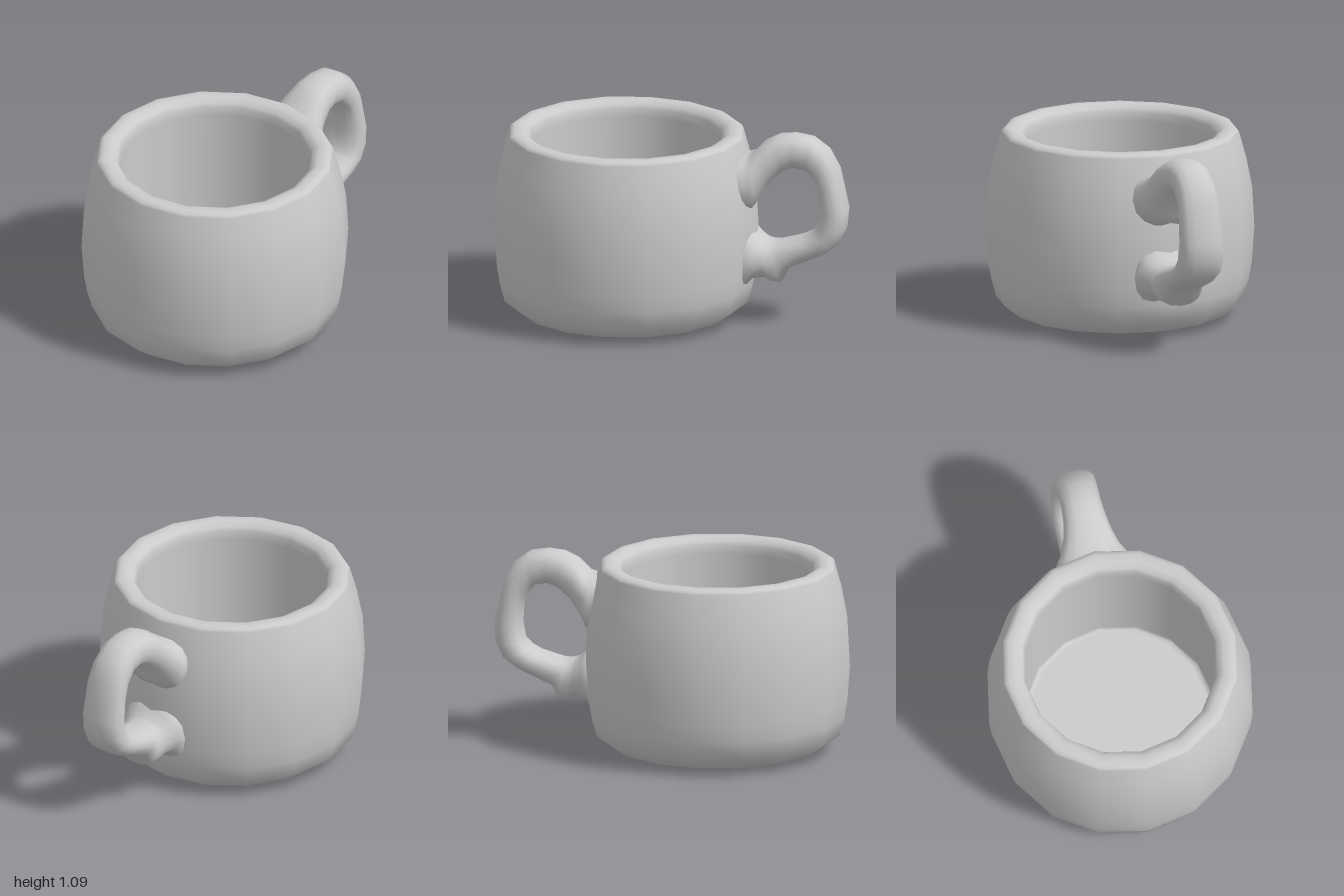
import * as THREE from 'three';

const CUP_X = -0.256;
const SIDES = 16;
const material = new THREE.MeshStandardMaterial({ color: 0xcccccc });

// Closed tube through stations [outerX, outerY, innerX, innerY, halfWidth]
function loftHandle(stations, around) {
  const positions = [], index = [];
  const round = (v) => Math.sign(v) * Math.abs(v) ** 0.85;
  for (const [ox, oy, ix, iy, half] of stations) {
    for (let j = 0; j < around; j++) {
      const a = (j / around) * Math.PI * 2;
      const c = round(Math.cos(a)), s = round(Math.sin(a));
      positions.push(
        (ox + ix) / 2 + ((ox - ix) / 2) * c,
        (oy + iy) / 2 + ((oy - iy) / 2) * c,
        half * s
      );
    }
  }
  for (let i = 0; i < stations.length - 1; i++) {
    for (let j = 0; j < around; j++) {
      const k = (j + 1) % around;
      const a = i * around + j, b = i * around + k;
      index.push(a, b, a + around, b, b + around, a + around);
    }
  }
  const geometry = new THREE.BufferGeometry();
  geometry.setAttribute('position', new THREE.Float32BufferAttribute(positions, 3));
  geometry.setIndex(index);
  geometry.computeVertexNormals();
  return geometry;
}

export function createModel() {
  const model = new THREE.Group();
  model.name = 'mug';

  // Bowl: base, bulging wall, rounded rim, straight inside and flat floor
  const profile = [
    [0, 0], [0.44, 0.002], [0.48, 0.006], [0.6, 0.03], [0.687, 0.1],
    [0.714, 0.2], [0.731, 0.3], [0.745, 0.5], [0.733, 0.72],
    [0.7, 0.89], [0.66, 1.035], [0.652, 1.048], [0.63, 1.06],
    [0.585, 1.06], [0.55, 1.04], [0.54, 1.015], [0.532, 0.97],
    [0.532, 0.15], [0.525, 0.125], [0.5, 0.12], [0, 0.12]
  ].map(([r, y]) => new THREE.Vector2(r, y));
  const cup = new THREE.Mesh(new THREE.LatheGeometry(profile, SIDES), material);
  cup.name = 'cup';
  cup.position.x = CUP_X;
  model.add(cup);

  // Handle: flared root, loop, thumb spur and lower flared root
  const stations = [
    [0.34, 0.96, 0.36, 0.67, 0.21],
    [0.43, 0.96, 0.47, 0.66, 0.2],
    [0.47, 0.975, 0.50, 0.72, 0.17],
    [0.53, 1.04, 0.57, 0.82, 0.138],
    [0.61, 1.08, 0.64, 0.88, 0.12],
    [0.70, 1.09, 0.70, 0.90, 0.112],
    [0.80, 1.075, 0.77, 0.885, 0.112],
    [0.89, 1.01, 0.82, 0.82, 0.116],
    [0.95, 0.90, 0.84, 0.75, 0.12],
    [1.0, 0.67, 0.845, 0.66, 0.126],
    [0.99, 0.56, 0.83, 0.57, 0.13],
    [0.95, 0.47, 0.79, 0.53, 0.132],
    [0.87, 0.41, 0.74, 0.505, 0.132],
    [0.76, 0.36, 0.67, 0.485, 0.13],
    [0.67, 0.32, 0.61, 0.47, 0.13],
    [0.63, 0.24, 0.58, 0.47, 0.138],
    [0.575, 0.24, 0.55, 0.475, 0.145],
    [0.54, 0.265, 0.53, 0.48, 0.157],
    [0.47, 0.255, 0.49, 0.51, 0.182],
    [0.43, 0.20, 0.46, 0.55, 0.2],
    [0.34, 0.20, 0.36, 0.56, 0.21]
  ];
  const handle = new THREE.Mesh(loftHandle(stations, 16), material);
  handle.name = 'handle';
  model.add(handle);

  return model;
}
